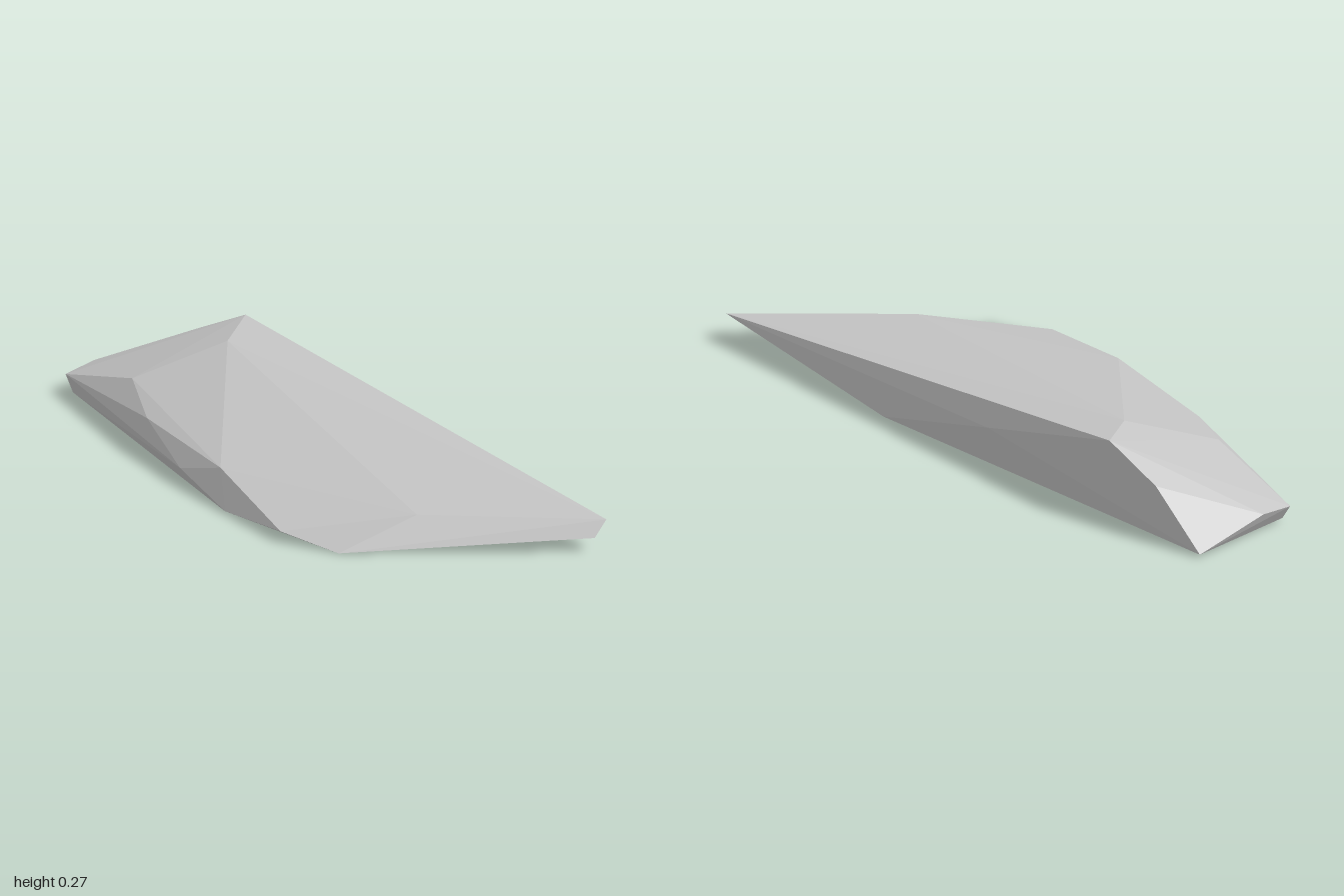
import * as THREE from 'three';
import { ConvexGeometry } from 'three/addons/geometries/ConvexGeometry.js';

const stone = new THREE.MeshStandardMaterial({ color: 0xc4c4c4 });
stone.name = 'stone grey';

// Corners of the faceted slab, grouped by height
const ridge = [
  [-0.58, 0.27, -0.37], [-0.51, 0.25, -0.22], [-0.76, 0.18, -0.37], [-0.1, 0.14, -0.363],
];
const shoulder = [
  [-0.68, 0.15, 0.01], [-0.5, 0.11, 0.135], [-0.08, 0.105, 0.26],
  [0.57, 0.09, 0.1], [1, 0.09, -0.26], [-0.99, 0.075, -0.15],
];
const rim = [
  [-1, 0.06, -0.04], [-0.26, 0.05, 0.245], [0.27, 0.032, 0.37], [1, 0.045, -0.21],
];
const base = [
  [-0.97, 0.01, -0.04], [0, 0.008, 0.325], [0.46, 0, 0.32],
  [0.33, 0.01, -0.33], [-0.93, 0.01, -0.37],
];

export function createModel() {
  const group = new THREE.Group();
  group.name = 'rock';
  const corners = [...ridge, ...shoulder, ...rim, ...base].map((p) => new THREE.Vector3(...p));
  // The hull has unshared corners, so every facet is flat shaded
  const slab = new THREE.Mesh(new ConvexGeometry(corners), stone);
  slab.name = 'rockSlab';
  group.add(slab);
  return group;
}
